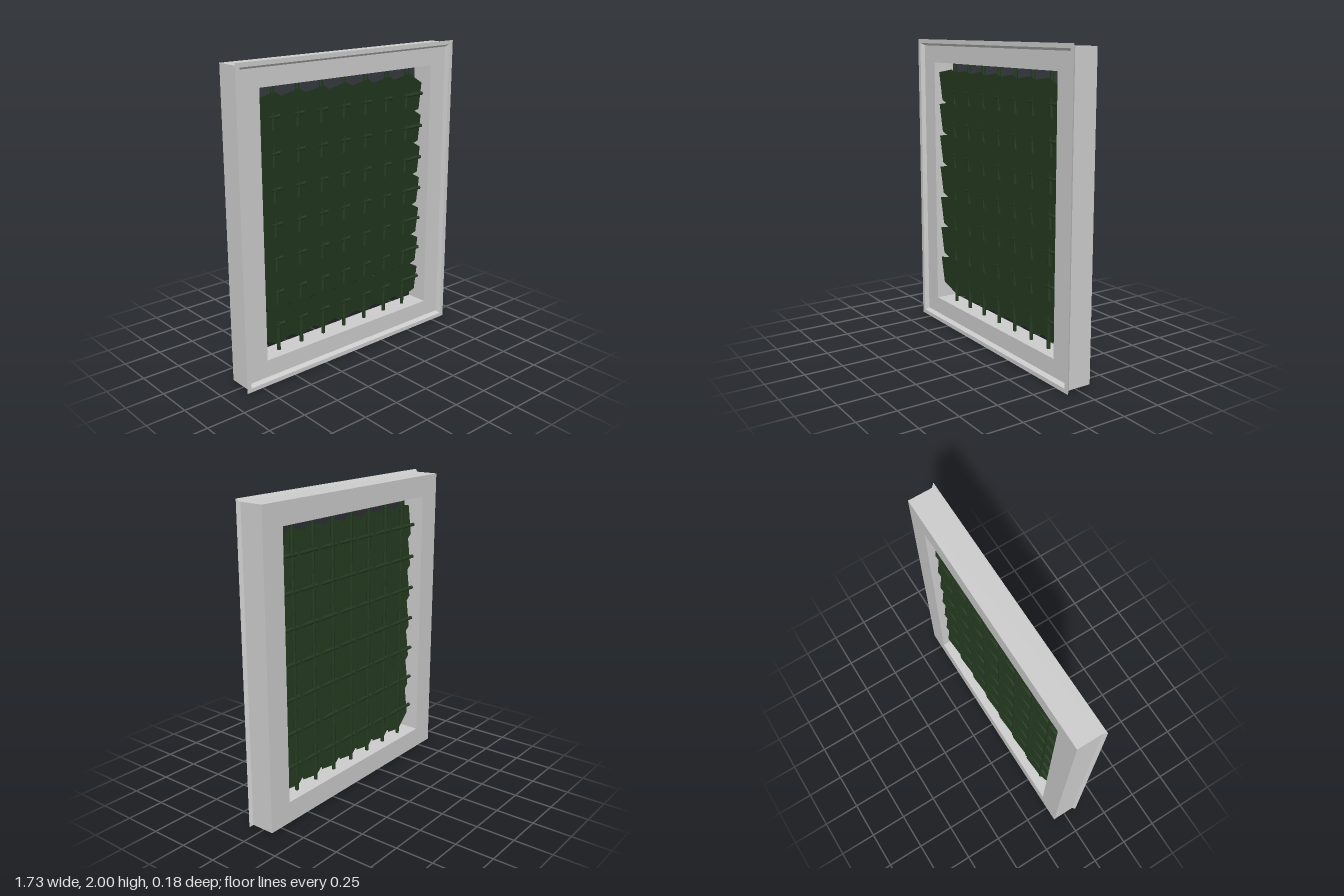
import * as THREE from 'three';

const grey = new THREE.MeshStandardMaterial({ color: 0xcccccc, flatShading: true });
const green = new THREE.MeshStandardMaterial({ color: 0x243a20, side: THREE.DoubleSide });
const CENTER_Y = 1.0;

// Rectangular ring: sweeps a closed profile of [halfWidth, halfHeight, z] round four corners
function rectRing(profile) {
  const pos = [];
  const corners = [[1, 1], [-1, 1], [-1, -1], [1, -1]];
  const point = ([w, h, z], [sx, sy]) => [w * sx, h * sy, z];
  profile.forEach((p, i) => {
    const q = profile[(i + 1) % profile.length];
    corners.forEach((c, k) => {
      const d = corners[(k + 1) % 4];
      const [a, b, e, f] = [point(p, c), point(p, d), point(q, d), point(q, c)];
      pos.push(...a, ...b, ...e, ...a, ...e, ...f);
    });
  });
  const geo = new THREE.BufferGeometry();
  geo.setAttribute('position', new THREE.Float32BufferAttribute(pos, 3));
  geo.computeVertexNormals();
  return geo;
}

// Thin six-cornered leaf, tilted so its upper left comes forward
function leafGeometry() {
  const outline = [[0, 0.15], [-0.15, 0.125], [-0.15, -0.06], [0, -0.14], [0.15, -0.11], [0.15, 0.07]];
  const geo = new THREE.ShapeGeometry(new THREE.Shape(outline.map(([x, y]) => new THREE.Vector2(x, y))));
  const p = geo.attributes.position;
  for (let i = 0; i < p.count; i++) p.setZ(i, -0.13 * p.getX(i) + 0.12 * p.getY(i));
  geo.computeVertexNormals();
  return geo;
}

export function createModel() {
  const model = new THREE.Group();
  const add = (parent, name, geo, mat, x, y, z) => {
    const mesh = new THREE.Mesh(geo, mat);
    mesh.name = name;
    mesh.position.set(x, y, z);
    parent.add(mesh);
    return mesh;
  };

  // Frame with a flared front lip and a shallow recess
  add(model, 'frame', rectRing([
    [0.69, 0.845, -0.088],
    [0.85, 0.983, -0.088],
    [0.85, 0.983, 0.068],
    [0.865, 1.0, 0.088],
    [0.835, 0.973, 0.088],
    [0.822, 0.958, 0.06],
    [0.69, 0.845, 0.06],
  ]), grey, 0, CENTER_Y + 0.0, 0);

  // Lattice of round bars
  const xs = Array.from({ length: 7 }, (_, i) => -0.548 + i * 0.1815);
  const ys = Array.from({ length: 7 }, (_, i) => 0.33 + i * 0.22);
  const bars = new THREE.Group();
  bars.name = 'lattice';
  const upright = new THREE.CylinderGeometry(0.012, 0.012, 1.7, 8);
  const crossbar = new THREE.CylinderGeometry(0.012, 0.012, 1.4, 8).rotateZ(Math.PI / 2);
  xs.forEach(x => add(bars, 'verticalBar', upright, green, x, CENTER_Y, -0.016));
  ys.forEach(y => add(bars, 'horizontalBar', crossbar, green, 0, y, -0.016));
  model.add(bars);

  // Overlapping leaves, one at each crossing
  const leaves = new THREE.Group();
  leaves.name = 'leaves';
  const leaf = leafGeometry();
  for (const x of xs) for (const y of ys) add(leaves, 'leaf', leaf, green, x, y, -0.01);
  model.add(leaves);

  return model;
}
